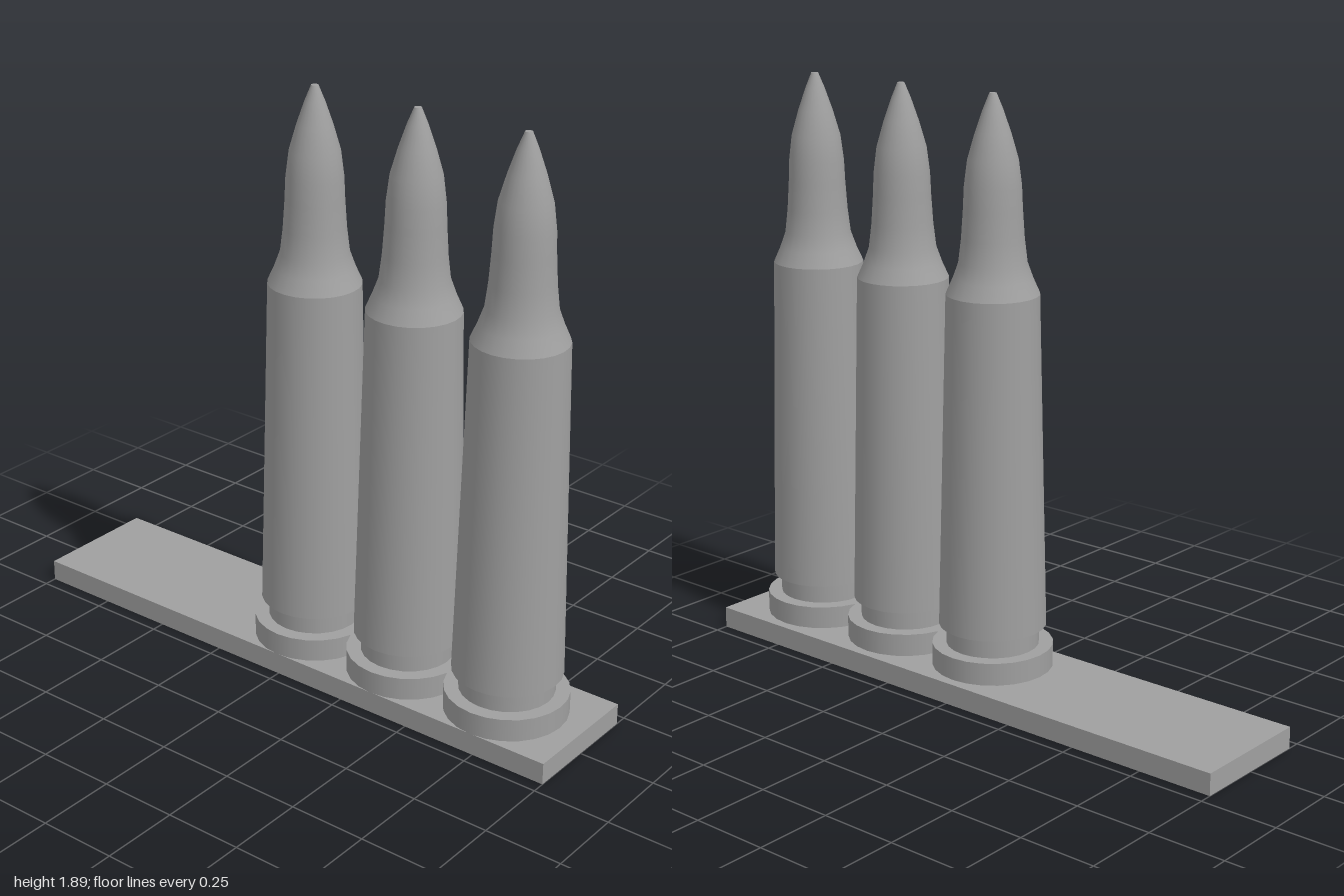
import * as THREE from 'three';

const material = new THREE.MeshStandardMaterial({ color: 0x9f9f9f });
const SIDES = 24;

function addMesh(parent, name, geometry) {
  const mesh = new THREE.Mesh(geometry, material);
  mesh.name = name;
  parent.add(mesh);
  return mesh;
}

// Capped cylinder standing between two heights
function addDrum(parent, name, topRadius, bottomRadius, y0, y1) {
  const geometry = new THREE.CylinderGeometry(topRadius, bottomRadius, y1 - y0, SIDES);
  addMesh(parent, name, geometry).position.y = (y0 + y1) / 2;
}

// Smooth surface of revolution from [radius, height] pairs
function addLathe(parent, name, profile) {
  const points = profile.map(([r, y]) => new THREE.Vector2(r, y));
  addMesh(parent, name, new THREE.LatheGeometry(points, SIDES));
}

function createCartridge() {
  const cartridge = new THREE.Group();
  cartridge.name = 'cartridge';
  addDrum(cartridge, 'rim', 0.193, 0.193, 0.07, 0.143);
  addDrum(cartridge, 'extractorGroove', 0.148, 0.148, 0.143, 0.208);
  addDrum(cartridge, 'caseBody', 0.145, 0.171, 0.208, 1.278);
  // Shoulder, neck and pointed tip run together
  addLathe(cartridge, 'shoulderAndTip', [
    [0.145, 1.278], [0.124, 1.325], [0.106, 1.375], [0.097, 1.45], [0.091, 1.54],
    [0.088, 1.61], [0.078, 1.69], [0.055, 1.77], [0.031, 1.84], [0.011, 1.889],
  ]);
  addLathe(cartridge, 'tipCap', [[0.011, 1.889], [0, 1.89]]);
  return cartridge;
}

export function createModel() {
  const model = new THREE.Group();
  model.name = 'cartridgeStrip';

  // Flat base strip
  addMesh(model, 'basePlate', new THREE.BoxGeometry(0.416, 0.07, 2)).position.y = 0.035;

  // Three cartridges toward the front of the strip
  for (const z of [0.74, 0.368, -0.003]) {
    const cartridge = createCartridge();
    cartridge.position.set(-0.016, 0, z);
    model.add(cartridge);
  }
  return model;
}
